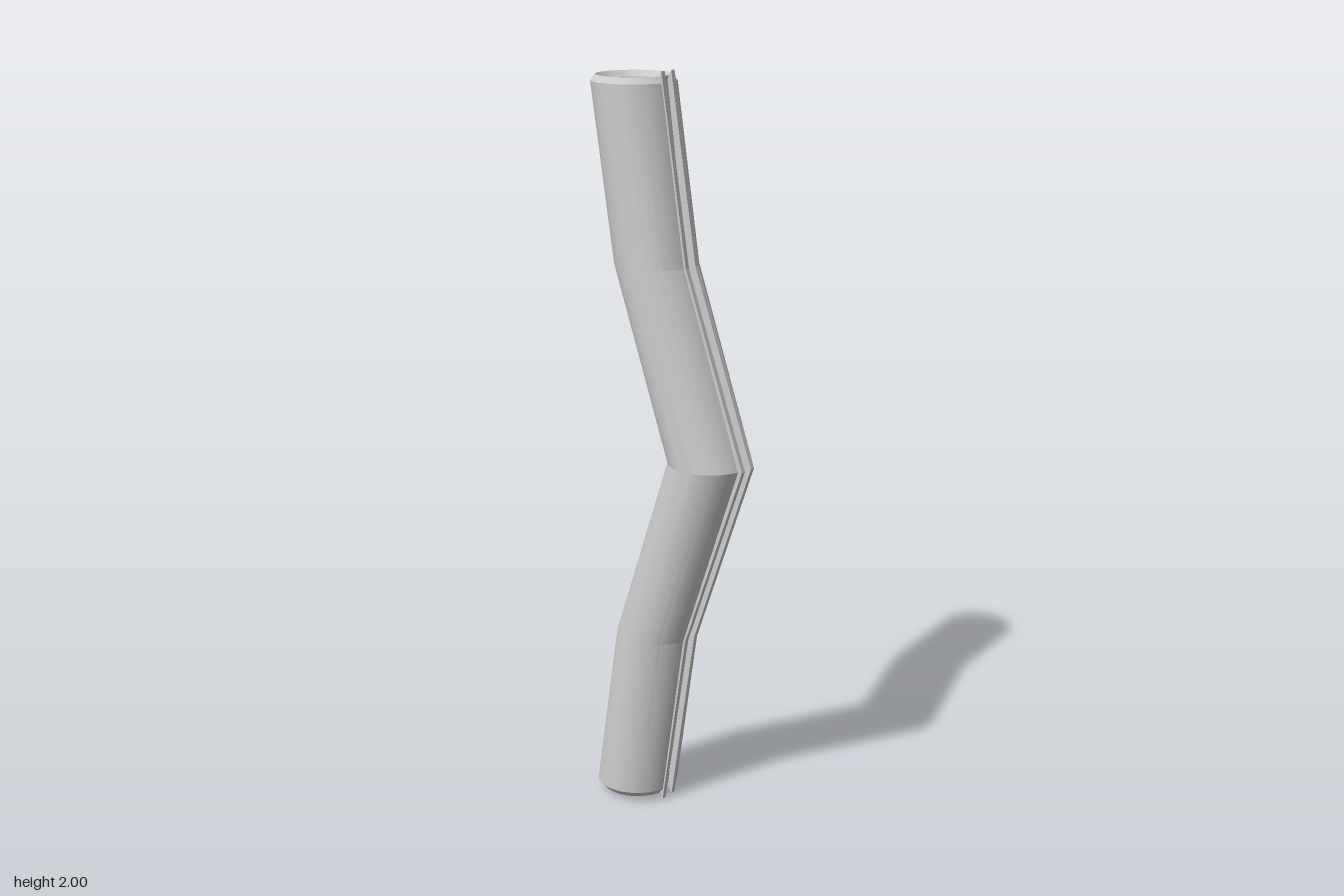
import * as THREE from 'three';
import { toCreasedNormals } from 'three/addons/utils/BufferGeometryUtils.js';

const material = new THREE.MeshStandardMaterial({ color: 0xcccccc, side: THREE.DoubleSide });

// Mirror a list of upper-half rows [x, y, ...] (top to middle) about y = 1
const mirrored = (rows) => [
  ...rows,
  ...rows.slice(0, -1).reverse().map(([x, y, ...rest]) => [x, 2 - y, ...rest]),
];

// Skin through horizontal circles [centreX, y, radius]; slot is the half width left open on +x
function skin(rows, slot, facing) {
  const n = 64, positions = [], index = [];
  for (const [cx, y, r] of rows) {
    const start = slot ? Math.asin(slot / r) : 0;
    for (let i = 0; i <= n; i++) {
      const a = start + (2 * Math.PI - 2 * start) * i / n;
      positions.push(cx + r * Math.cos(a), y, r * Math.sin(a));
    }
  }
  for (let j = 0; j < rows.length - 1; j++) {
    for (let i = 0; i < n; i++) {
      const a = j * (n + 1) + i, b = a + 1, c = a + n + 1, d = c + 1;
      if (facing > 0) index.push(a, b, c, b, d, c);
      else index.push(a, c, b, b, c, d);
    }
  }
  const g = new THREE.BufferGeometry();
  g.setAttribute('position', new THREE.Float32BufferAttribute(positions, 3));
  g.setIndex(index);
  return toCreasedNormals(g, 0.13);
}

export function createModel() {
  const group = new THREE.Group();
  const add = (name, geometry) => {
    const mesh = new THREE.Mesh(geometry, material);
    mesh.name = name;
    group.add(mesh);
    return mesh;
  };

  // Bent outer wall with chamfered ends and a lengthwise slot on the +x side
  add('outerTube', skin(mirrored([
    [-0.125, 1.986, 0.098],
    [-0.125, 1.97, 0.111],
    [-0.055, 1.51, 0.11],
    [0.117, 1, 0.111],
  ]), 0.02, 1));

  // Bore with chamfered mouths; it also forms the floor of the slot
  add('innerBore', skin(mirrored([
    [-0.125, 1.986, 0.098],
    [-0.124, 1.97, 0.086],
    [-0.061, 1.55, 0.079],
    [0.117, 1, 0.074],
  ]), 0, -1));

  // Pair of thin rails lining the slot, standing slightly proud of the wall
  const outer = mirrored([[-0.018, 2], [0.058, 1.51], [0.236, 1]]);
  const inner = mirrored([[-0.03, 1.978], [0.03, 1.51], [0.19, 1]]);
  const shape = new THREE.Shape(
    [...outer, ...inner.reverse()].map(([x, y]) => new THREE.Vector2(x, y)));
  const railGeometry = new THREE.ExtrudeGeometry(shape, { depth: 0.014, bevelEnabled: false });
  add('slotRailLeft', railGeometry).position.z = 0.014;
  add('slotRailRight', railGeometry).position.z = -0.028;

  return group;
}
